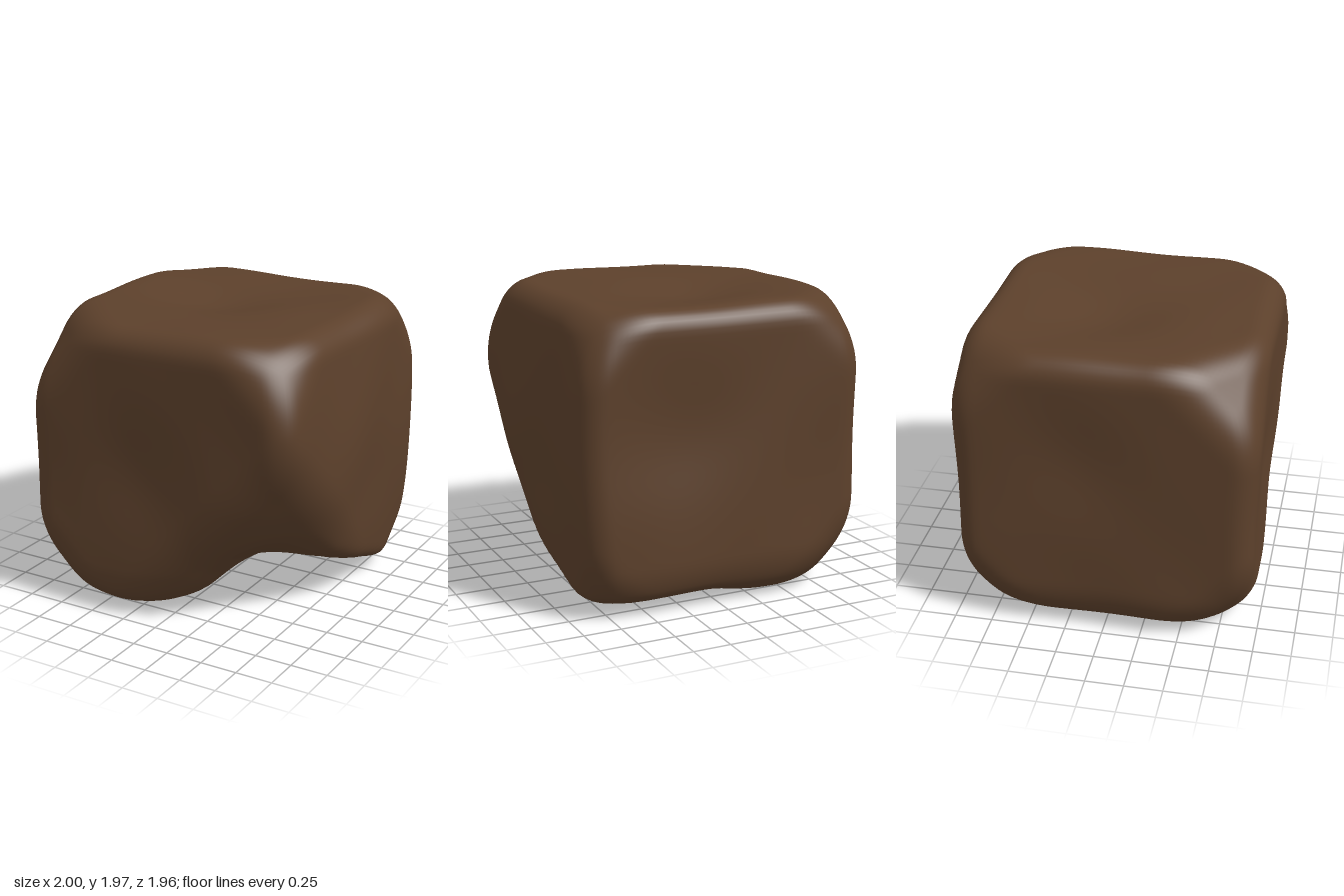
import * as THREE from 'three';
import { mergeVertices } from 'three/addons/utils/BufferGeometryUtils.js';

// Smooth maximum: joins a body with the complement of a cut
const smax = (a, b, k) => {
  const h = Math.max(k - Math.abs(a - b), 0) / k;
  return Math.max(a, b) + h * h * k / 4;
};

// Shallow dents: x, y, z, radius, depth
const dents = [
  [-0.1, 1.95, -0.17, 0.45, 0.08],
  [0.3, 1.2, -0.95, 0.45, 0.06],
  [0.95, 0.8, -0.3, 0.35, 0.03],
  [-0.95, 1.2, -0.1, 0.45, 0.04],
  [-0.15, 1.0, 0.95, 0.4, 0.04],
];

// Worn corners and lower edges: direction signs x, y, z and reach along them
const worn = [
  [-1, 1, 1, 2.38], [1, 1, 1, 2.46], [1, 1, -1, 2.51], [-1, 1, -1, 2.53],
  [-1, -1, 1, 2.42], [1, -1, -1, 2.52], [-1, -1, -1, 2.46],
  [-1, -1, 0, 1.82], [0, -1, -1, 1.8], [0, -1, 1, 1.82],
];

// Rounded block
function block(x, y, z) {
  const r = 0.16;
  const bulge = x > 0 ? 0.1 * (y - 1.1) ** 2 + 0.05 * (z + 0.1) ** 2 : 0;
  const qx = Math.abs(x) + bulge - 0.995 + r;
  const qy = Math.abs(y - 0.99) - 0.985 + r;
  const qz = Math.abs(z) - 0.97 + r;
  return Math.hypot(Math.max(qx, 0), Math.max(qy, 0), Math.max(qz, 0))
    + Math.min(Math.max(qx, qy, qz), 0) - r;
}

const ball = (x, y, z, cx, cy, cz, rx, ry, rz) =>
  (Math.hypot((x - cx) / rx, (y - cy) / ry, (z - cz) / rz) - 1) * Math.min(rx, ry, rz);

// Distance field of the whole boulder
function boulder(x, y, z) {
  let d = block(x, y, z);
  // underside is higher on the broken side and slopes down to the back
  d = smax(d, 0.07 * THREE.MathUtils.smoothstep(x, -0.35, 0.1) - y, 0.06);
  d = smax(d, (0.295 + 0.35 * Math.min(z, 0.1) - 0.7 * Math.max(0.4 - x, 0) - y) / 1.15, 0.08);
  for (const [sx, sy, sz, reach] of worn) {
    d = smax(d, (sx * x + sy * (y - 1) + sz * z - reach) / Math.hypot(sx, sy, sz), 0.13);
  }
  // broken lower front corner
  d = smax(d, (1.05 * x - y + 1.07 * z - 0.7) / 1.81, 0.14);
  d = smax(d, -ball(x, y, z, 0.7, 0, 0.6, 0.48, 0.48, 0.48), 0.2);
  // hollow underside
  d = smax(d, -ball(x, y, z, 0.38, -0.19, -0.02, 0.56, 0.55, 0.6), 0.1);
  d = smax(d, -ball(x, y, z, -0.15, -0.25, -0.25, 0.6, 0.38, 0.4), 0.12);
  for (const [cx, cy, cz, r, depth] of dents) {
    d += depth * Math.exp(-((x - cx) ** 2 + (y - cy) ** 2 + (z - cz) ** 2) / (r * r));
  }
  // gentle surface unevenness
  return d + 0.012 * Math.sin(5.1 * x + 1.3 * y + 0.6) * Math.sin(4.3 * y + 1.9 * z) * Math.cos(4.7 * z - 1.1 * x);
}

export function createModel() {
  const group = new THREE.Group();
  group.name = 'boulder';
  const brown = new THREE.MeshStandardMaterial({ color: 0x5c402b });
  brown.name = 'earth brown';

  const n = 48;
  let geometry = new THREE.BoxGeometry(2, 2, 2, n, n, n);
  geometry.deleteAttribute('uv');
  geometry.deleteAttribute('normal');
  geometry = mergeVertices(geometry, 1e-4);

  // Move each vertex along its ray from the centre onto the boulder surface
  const pos = geometry.attributes.position;
  for (let i = 0; i < pos.count; i++) {
    const x = pos.getX(i), y = pos.getY(i), z = pos.getZ(i);
    let lo = 0.1, hi = 1.3;
    for (let k = 0; k < 24; k++) {
      const t = (lo + hi) / 2;
      if (boulder(x * t, 1 + y * t, z * t) < 0) lo = t; else hi = t;
    }
    pos.setXYZ(i, x * lo, 1 + y * lo, z * lo);
  }

  // Rest on the ground, centred
  geometry.computeBoundingBox();
  const box = geometry.boundingBox;
  const centre = box.getCenter(new THREE.Vector3());
  geometry.translate(-centre.x, -box.min.y, -centre.z);
  geometry.computeVertexNormals();

  const rock = new THREE.Mesh(geometry, brown);
  rock.name = 'rock';
  group.add(rock);
  return group;
}
